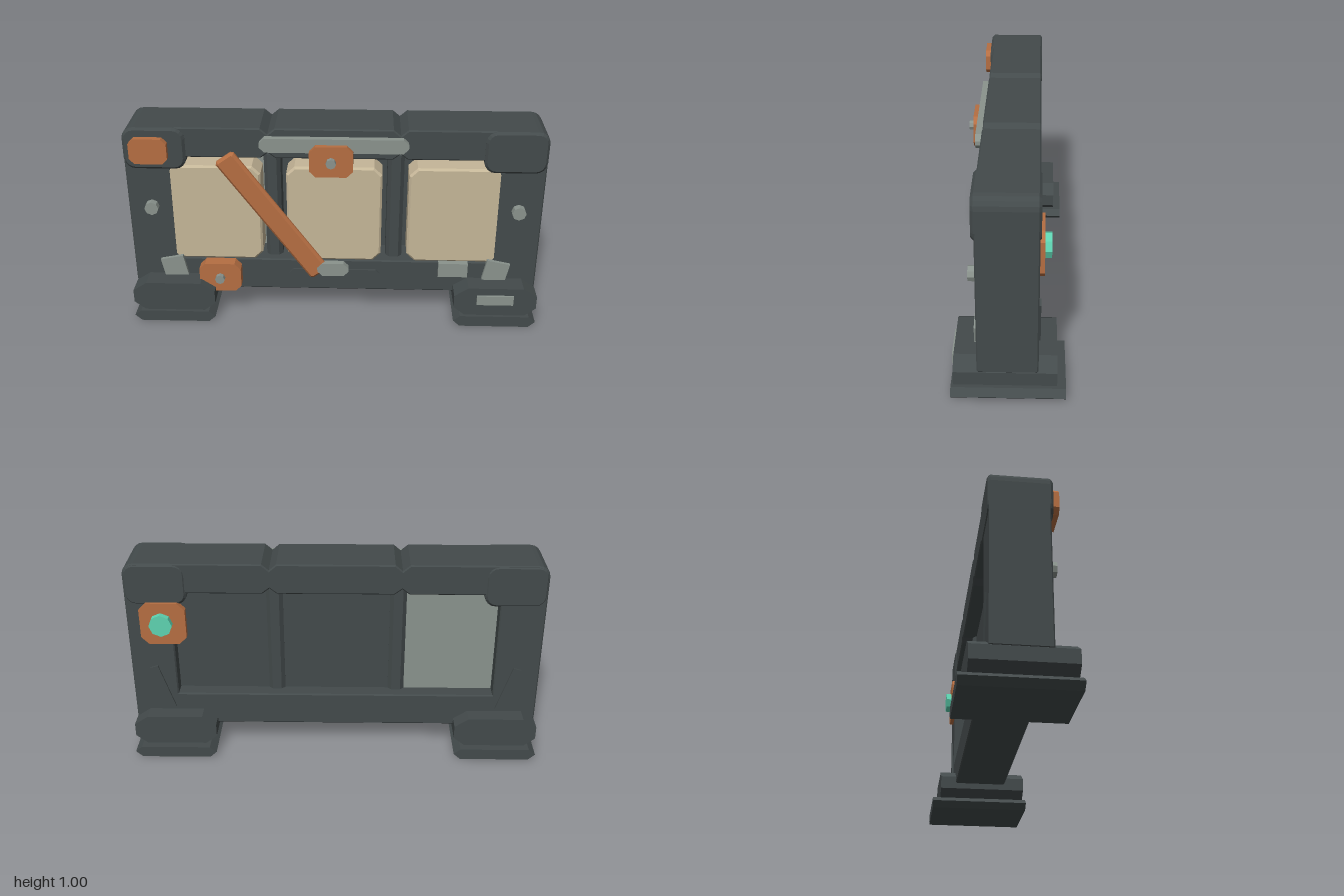
import * as THREE from 'three';

const mat = (name, color) => {
  const m = new THREE.MeshStandardMaterial({ color });
  m.name = name;
  return m;
};

export function createModel() {
  const dark = mat('dark steel', 0x434a4b);
  const tan = mat('tan panel', 0xc5b698);
  const orange = mat('rust orange', 0xb56e42);
  const grey = mat('worn grey', 0x8a938d);
  const green = mat('teal bolt', 0x5ed3b1);

  const group = new THREE.Group();
  group.name = 'barrier';

  const add = (name, geo, material, x = 0, y = 0, z = 0, tilt = 0) => {
    const mesh = new THREE.Mesh(geo, material);
    mesh.name = name;
    mesh.position.set(x, y, z);
    mesh.rotation.z = tilt;
    group.add(mesh);
    return mesh;
  };

  const toShape = (pts) => new THREE.Shape(pts.map(([x, y]) => new THREE.Vector2(x, y)));

  // Points of a quarter circle, for rounded corners
  const arc = (cx, cy, r, start) => [0, 1, 2, 3, 4].map((i) => {
    const a = start + (i * Math.PI) / 8;
    return [cx + r * Math.cos(a), cy + r * Math.sin(a)];
  });

  // Outline pushed from z0 to z1 with a small flat bevel kept inside the outline
  const slab = (shape, z0, z1, bevel = 0) => {
    const geo = new THREE.ExtrudeGeometry(shape, {
      depth: z1 - z0 - 2 * bevel, bevelEnabled: bevel > 0, bevelSegments: 1,
      bevelSize: bevel, bevelThickness: bevel, bevelOffset: -bevel,
    });
    geo.translate(0, 0, z0 + bevel);
    return geo;
  };

  // Rectangle with cut corners
  const octagon = (w, h, c) => {
    const a = w / 2, b = h / 2;
    return toShape([[-a + c, -b], [a - c, -b], [a, -b + c], [a, b - c],
      [a - c, b], [-a + c, b], [-a, b - c], [-a, -b + c]]);
  };
  const plate = (name, material, x, y, w, h, c, z0, z1, bevel = 0, tilt = 0) =>
    add(name, slab(octagon(w, h, c), z0, z1, bevel), material, x, y, 0, tilt);

  // Eight sided bolt along z
  const bolt = (name, material, x, y, r, z0, z1) => {
    const geo = new THREE.CylinderGeometry(r, r, z1 - z0, 8).toNonIndexed();
    geo.rotateX(Math.PI / 2);
    geo.computeVertexNormals();
    add(name, geo, material, x, y, (z0 + z1) / 2);
  };

  // Main frame with notched top beam and one wide opening
  const n = 0.035, xl = -0.315, xr = 0.31, xi = 0.782;
  const outline = toShape([
    [-0.96, 0.13], [0.96, 0.13], [1, 0.17], ...arc(0.945, 0.945, 0.055, 0),
    [xr + n, 1], [xr, 0.97], [xr - n, 1], [xl + n, 1], [xl, 0.97], [xl - n, 1],
    ...arc(-0.945, 0.945, 0.055, Math.PI / 2), [-1, 0.17],
  ]);
  outline.holes.push(toShape([
    [-xi, 0.3], [-xi, 0.85], [xl - n, 0.85], [xl, 0.877], [xl + n, 0.85],
    [xr - n, 0.85], [xr, 0.877], [xr + n, 0.85], [xi, 0.85], [xi, 0.3],
  ]));
  add('frame', slab(outline, -0.13, 0.133, 0.006), dark);

  // Upright dividers
  for (const x of [-0.302, 0.293]) {
    const geo = slab(octagon(0.08, 0.165, 0.018), 0, 0.56);
    geo.rotateX(-Math.PI / 2);
    add('divider', geo, dark, x, 0.29, 0.006);
  }

  // Backing sheets meeting behind the dividers, and tan front panels
  const bays = [[-0.8, -0.302, -0.585, grey], [-0.302, 0.293, -0.002, dark], [0.293, 0.8, 0.585, dark]];
  for (const [x0, x1, x, material] of bays) {
    add('backingSheet', new THREE.BoxGeometry(x1 - x0, 0.56, 0.03), material, (x0 + x1) / 2, 0.575, -0.042);
    plate('frontPanel', tan, x, 0.552, 0.46, 0.505, 0.04, -0.01, 0.1325, 0.01);
  }

  // Corner caps and feet, mirrored
  const block = [[-0.14, 0.05], [0.14, 0.05], [0.203, 0.1], [0.203, 0.165],
    [0.135, 0.21], [-0.135, 0.21], [-0.203, 0.165], [-0.203, 0.1]];
  const pad = [[-0.17, 0], [0.17, 0], [0.203, 0.03], [0.17, 0.057], [-0.17, 0.057], [-0.203, 0.03]];
  const cap = toShape([0, 1, 2, 3].flatMap((i) => arc(
    (i === 0 || i === 3 ? 1 : -1) * 0.093, (i < 2 ? 1 : -1) * 0.05, 0.055, (i * Math.PI) / 2)));
  for (const s of [-1, 1]) {
    add('cornerCap', slab(cap, -0.135, 0.146, 0.012), dark, 0.852 * s, 0.895);
    add('footBlock', slab(toShape(block), -0.21, 0.235), dark, 0.797 * s);
    add('footPad', slab(toShape(pad), -0.25, 0.25), dark, 0.797 * s);
    bolt('postStud', grey, 0.885 * s, 0.59, 0.034, 0.12, 0.168);
    add('footBracket', new THREE.BoxGeometry(0.115, 0.11, 0.04), grey, 0.8 * s, 0.255, 0.131, -0.2 * s);
    add('rearBrace', new THREE.BoxGeometry(0.04, 0.245, 0.02), dark, 0.854 * s, 0.338, -0.128, -0.31 * s);
  }

  // Grey fittings on the front
  plate('handleBar', grey, -0.003, 0.928, 0.7, 0.07, 0.025, 0.12, 0.165);
  plate('strapStop', grey, -0.008, 0.26, 0.155, 0.07, 0.025, 0.12, 0.164);
  add('smallPlate', new THREE.BoxGeometry(0.145, 0.075, 0.035), grey, 0.587, 0.263, 0.138);
  add('footPlate', new THREE.BoxGeometry(0.18, 0.05, 0.02), grey, 0.795, 0.147, 0.237);
  plate('lowerRail', dark, 0, 0.224, 0.45, 0.052, 0.02, 0.12, 0.144);

  // Orange clamps, corner patch and diagonal strap
  for (const [x, y] of [[-0.015, 0.858], [-0.567, 0.222]]) {
    plate('clamp', orange, x, y, 0.206, 0.154, 0.03, 0.125, 0.19);
    bolt('clampBolt', grey, x, y, 0.024, 0.18, 0.214);
  }
  plate('cornerPatch', orange, -0.875, 0.893, 0.18, 0.126, 0.025, 0.135, 0.176);
  plate('diagonalStrap', orange, -0.298, 0.545, 0.108, 0.775, 0.012, 0.125, 0.16, 0.012, Math.atan2(0.445, 0.615));

  // Rear plate with its big bolt
  plate('rearPlate', orange, 0.825, 0.698, 0.22, 0.215, 0.036, -0.15, -0.12);
  bolt('rearBolt', green, 0.832, 0.7, 0.056, -0.179, -0.145);

  return group;
}
